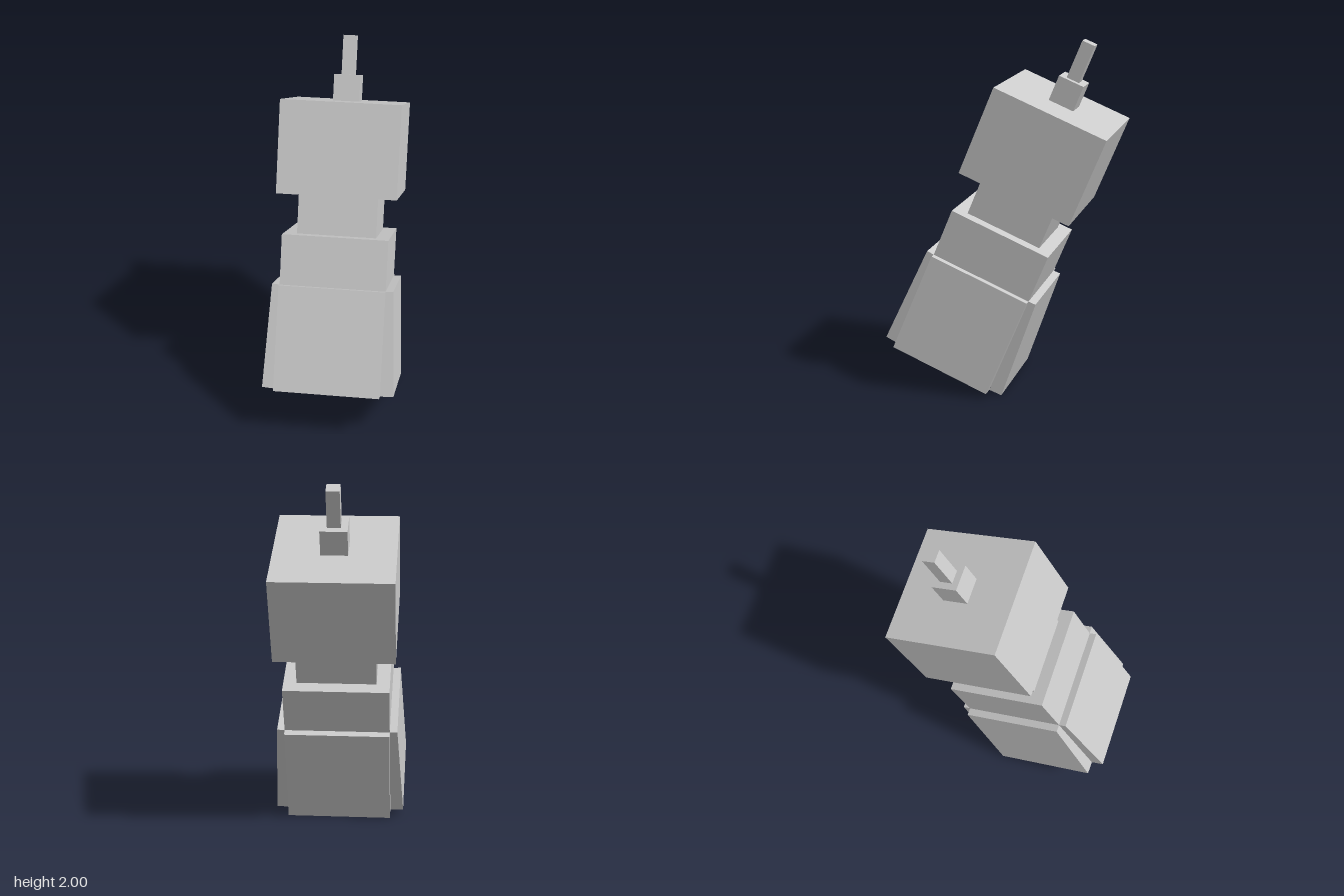
import * as THREE from 'three';

// Blocky leaning figure; every size is a multiple of one unit.
const U = 0.0745;
const material = new THREE.MeshStandardMaterial({ color: 0xcccccc, flatShading: true });

function block(name, w, h, d, y) {
  const mesh = new THREE.Mesh(new THREE.BoxGeometry(w * U, h * U, d * U), material);
  mesh.name = name;
  mesh.position.y = y;
  return mesh;
}

// box standing between two heights on the central axis
function stacked(name, width, bottom, top) {
  return block(name, width, (top - bottom) / U, width, (bottom + top) / 2);
}

export function createModel() {
  const model = new THREE.Group();
  model.name = 'model';

  // whole body leans backwards
  const body = new THREE.Group();
  body.name = 'leaningBody';
  body.rotation.x = -Math.PI / 8;
  body.position.set(0, 0.125, 0.303);
  model.add(body);

  body.add(
    stacked('torso', 8, 0.60, 0.898),
    stacked('neck', 6, 0.898, 1.128),
    stacked('head', 9, 1.128, 1.648),
    stacked('antennaBase', 2, 1.648, 1.796),
    stacked('antennaRod', 1, 1.796, 2.018),
  );

  // four skirt panels flaring outwards below the torso
  ['front', 'left', 'back', 'right'].forEach((side, i) => {
    const pivot = new THREE.Group();
    pivot.name = side + 'SkirtPanel';
    pivot.rotation.y = i * Math.PI / 2;
    const panel = block(side + 'Panel', 8, 8, 1, 0.316);
    panel.position.z = 0.32;
    panel.rotation.x = -0.054;
    pivot.add(panel);
    body.add(pivot);
  });

  return model;
}
